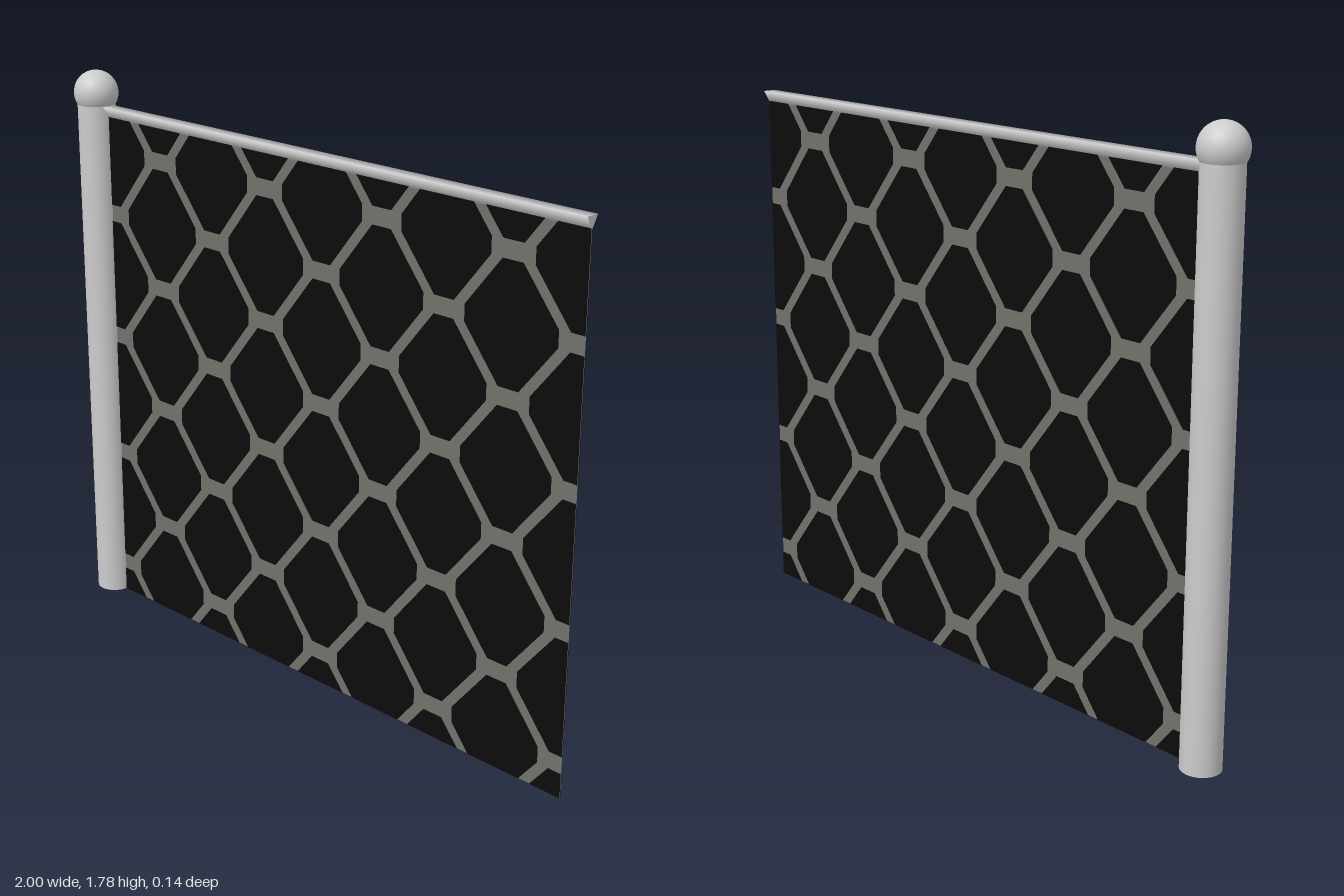
import * as THREE from 'three';

const LEFT = -0.88, RIGHT = 1, BOTTOM = 0, TOP = 1.645;
const POST_X = -0.93;

// Clip a convex polygon against one side of the panel
function clip(points, axis, limit, sign) {
  const inside = p => sign * (p[axis] - limit) <= 0;
  const out = [];
  points.forEach((a, i) => {
    const b = points[(i + 1) % points.length];
    if (inside(a)) out.push(a);
    if (inside(a) !== inside(b)) {
      out.push(a.clone().lerp(b, (limit - a[axis]) / (b[axis] - a[axis])));
    }
  });
  return out;
}

// Eight-sided opening of the lattice, trimmed to the panel
function cellShape(cx, cy) {
  const corners = [[0.035, 0.178], [-0.035, 0.178], [-0.158, 0.025], [-0.158, -0.025],
    [-0.035, -0.178], [0.035, -0.178], [0.158, -0.025], [0.158, 0.025]];
  let pts = corners.map(([x, y]) => new THREE.Vector2(cx + x, cy + y));
  pts = clip(pts, 'x', LEFT, -1);
  pts = clip(pts, 'x', RIGHT, 1);
  pts = clip(pts, 'y', BOTTOM, -1);
  pts = clip(pts, 'y', TOP, 1);
  return pts.length > 2 ? new THREE.Shape(pts) : null;
}

export function createModel() {
  const metal = new THREE.MeshStandardMaterial({ color: 0xcccccc });
  metal.name = 'light metal';
  const wire = new THREE.MeshStandardMaterial({ color: 0x72726c, side: THREE.DoubleSide });
  wire.name = 'wire grey';
  const dark = new THREE.MeshStandardMaterial({ color: 0x0b0b0b, side: THREE.DoubleSide });
  dark.name = 'black';

  const model = new THREE.Group();
  model.name = 'fencePanel';
  const add = (name, geometry, material, x, y, z = 0) => {
    const mesh = new THREE.Mesh(geometry, material);
    mesh.name = name;
    mesh.position.set(x, y, z);
    model.add(mesh);
    return mesh;
  };

  // Round post with a ball on top
  add('post', new THREE.CylinderGeometry(0.06, 0.06, 1.69, 32), metal, POST_X, 0.845);
  add('postBall', new THREE.SphereGeometry(0.07, 32, 20), metal, POST_X, 1.713);

  // Three-sided top rail with its point downwards
  const railLength = RIGHT - POST_X;
  const rail = new THREE.CylinderGeometry(0.0245, 0.0245, railLength, 3);
  rail.rotateZ(Math.PI / 2);
  // turn one corner to face straight down
  const p = rail.attributes.position;
  let low = 0;
  for (let i = 0; i < p.count; i++) {
    if (Math.hypot(p.getY(i), p.getZ(i)) > 0.02) { low = i; break; }
  }
  rail.rotateX(-Math.PI / 2 - Math.atan2(p.getZ(low), p.getY(low)) - Math.PI / 2);
  add('topRail', rail, metal, (RIGHT + POST_X) / 2, 1.664);

  // Wire sheet
  add('wireMesh', new THREE.PlaneGeometry(RIGHT - LEFT, TOP - BOTTOM), wire,
    (LEFT + RIGHT) / 2, (TOP + BOTTOM) / 2);

  // Staggered dark openings, on both faces
  const shapes = [];
  for (let row = -1; row <= 8; row++) {
    const shift = row % 2 ? 0.064 : 0.2955;
    for (let col = -4; col <= 3; col++) {
      const shape = cellShape(shift + col * 0.463, 0.1055 + row * 0.2047);
      if (shape) shapes.push(shape);
    }
  }
  const openings = new THREE.ShapeGeometry(shapes);
  add('frontOpenings', openings, dark, 0, 0, 0.002);
  // the rear copy is turned so its normals face backwards
  const rear = openings.clone().scale(-1, 1, 1);
  add('backOpenings', rear, dark, 0, 0, -0.002).rotation.y = Math.PI;
  const index = rear.index;
  for (let i = 0; i < index.count; i += 3) {
    const a = index.getX(i);
    index.setX(i, index.getX(i + 1));
    index.setX(i + 1, a);
  }
  return model;
}
